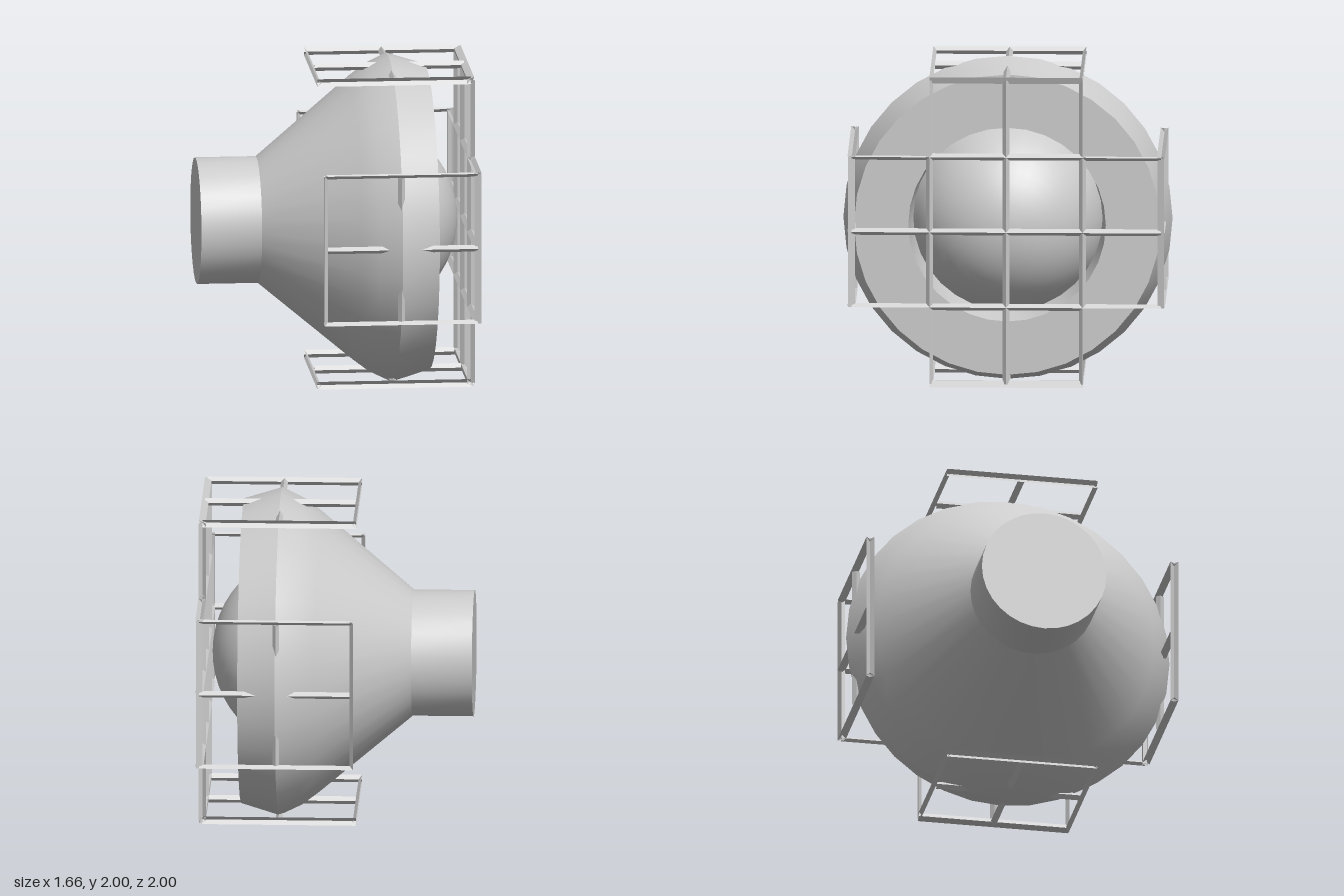
import * as THREE from 'three';
import { toCreasedNormals } from 'three/addons/utils/BufferGeometryUtils.js';

const grey = new THREE.MeshStandardMaterial({ color: 0xcccccc });
const wire = new THREE.MeshStandardMaterial({ color: 0xcccccc, side: THREE.DoubleSide, flatShading: true });

// Turned part around the x axis; points are [x, radius]
function turned(name, points, sides = 32) {
  const profile = points.map(([x, r]) => new THREE.Vector2(r, x));
  const geo = new THREE.LatheGeometry(profile, sides);
  geo.rotateZ(-Math.PI / 2);
  const mesh = new THREE.Mesh(toCreasedNormals(geo, 0.5), grey);
  mesh.name = name;
  return mesh;
}

// Straight bar from a to b; its section is a list of offset vectors
function bar(name, a, b, section, closed = true) {
  const n = section.length;
  const pos = [], index = [];
  for (const end of [a, b])
    for (const s of section) pos.push(end[0] + s[0], end[1] + s[1], end[2] + s[2]);
  for (let i = 0; i < (closed ? n : n - 1); i++) {
    const j = (i + 1) % n;
    index.push(i, j, n + j, i, n + j, n + i);
  }
  const indexed = new THREE.BufferGeometry();
  indexed.setAttribute('position', new THREE.Float32BufferAttribute(pos, 3));
  indexed.setIndex(index);
  const geo = indexed.toNonIndexed();
  geo.computeVertexNormals();
  const mesh = new THREE.Mesh(geo, wire);
  mesh.name = name;
  return mesh;
}

const T = 0.024, W = 0.021; // half thickness and half width of the bars
const scale = (v, k) => v.map((c) => c * k);
// Diamond bar inside a panel
const innerBar = (a, b, normal, across) => bar('guardBar', a, b,
  [scale(normal, T), scale(across, W), scale(normal, -T), scale(across, -W)]);
// V-shaped bar, open outward, along a panel's free edge
const edgeBar = (a, b, normal, inward) => bar('guardEdge', a, b,
  [scale(normal, T), scale(inward, W), scale(normal, -T)], false);

// One quarter of the guard: a flap over the rim and the arm in front of the lens
function guardArm() {
  const arm = new THREE.Group();
  arm.name = 'guardArm';
  const X = [1, 0, 0], Y = [0, 1, 0], Z = [0, 0, 1];
  const back = -0.13, mid = 0.34, front = 0.805, h = 0.465, d = 0.94;

  // Flap
  arm.add(edgeBar([back, d, -h], [back, d, h], Y, X));
  arm.add(innerBar([back + W, d, 0], [front, d, 0], Y, Z));
  arm.add(innerBar([mid, d, -h + W], [mid, d, h - W], Y, X));
  // Arm in the front plane
  arm.add(innerBar([front, 0, 0], [front, d, 0], X, Z));
  arm.add(innerBar([front, h, -h], [front, h, h], X, Y));
  for (const s of [-1, 1]) {
    arm.add(edgeBar([back, d, s * h], [front, d, s * h], Y, [0, 0, -s]));
    arm.add(edgeBar([front, h, s * h], [front, d, s * h], X, [0, 0, -s]));
  }
  // Corner where flap and arm meet
  const corner = bar('guardCorner', [front, d, -h], [front, d, h],
    [[0.02, 0.02, 0], [-W, 0.004, 0], [-0.018, -0.018, 0], [0.004, -W, 0]]);
  arm.add(corner);
  return arm;
}

export function createModel() {
  const model = new THREE.Group();
  model.name = 'guardedLamp';
  const lamp = new THREE.Group();
  lamp.name = 'lamp';
  lamp.position.y = 1;
  model.add(lamp);

  // Housing
  lamp.add(turned('socket', [[-0.83, 0], [-0.83, 0.385], [-0.46, 0.385]]));
  lamp.add(turned('housing', [[-0.46, 0.385], [0.11, 0.86], [0.21, 0.935], [0.345, 1]]));
  lamp.add(turned('rim', [[0.345, 1], [0.575, 0.93], [0.575, 0.6], [0.36, 0.575]]));

  // Domed lens: a cap of a sphere set into the recess
  const lens = [], R = 0.615, cx = 0.145, start = Math.asin(0.577 / R);
  for (let i = 0; i <= 10; i++) {
    const a = start * (1 - i / 10);
    lens.push([cx + R * Math.cos(a), i === 10 ? 0 : R * Math.sin(a)]);
  }
  lamp.add(turned('lens', lens));

  // Guard
  const guard = new THREE.Group();
  guard.name = 'guard';
  for (let i = 0; i < 4; i++) {
    const arm = guardArm();
    arm.rotation.x = (i * Math.PI) / 2;
    guard.add(arm);
  }
  lamp.add(guard);
  return model;
}
